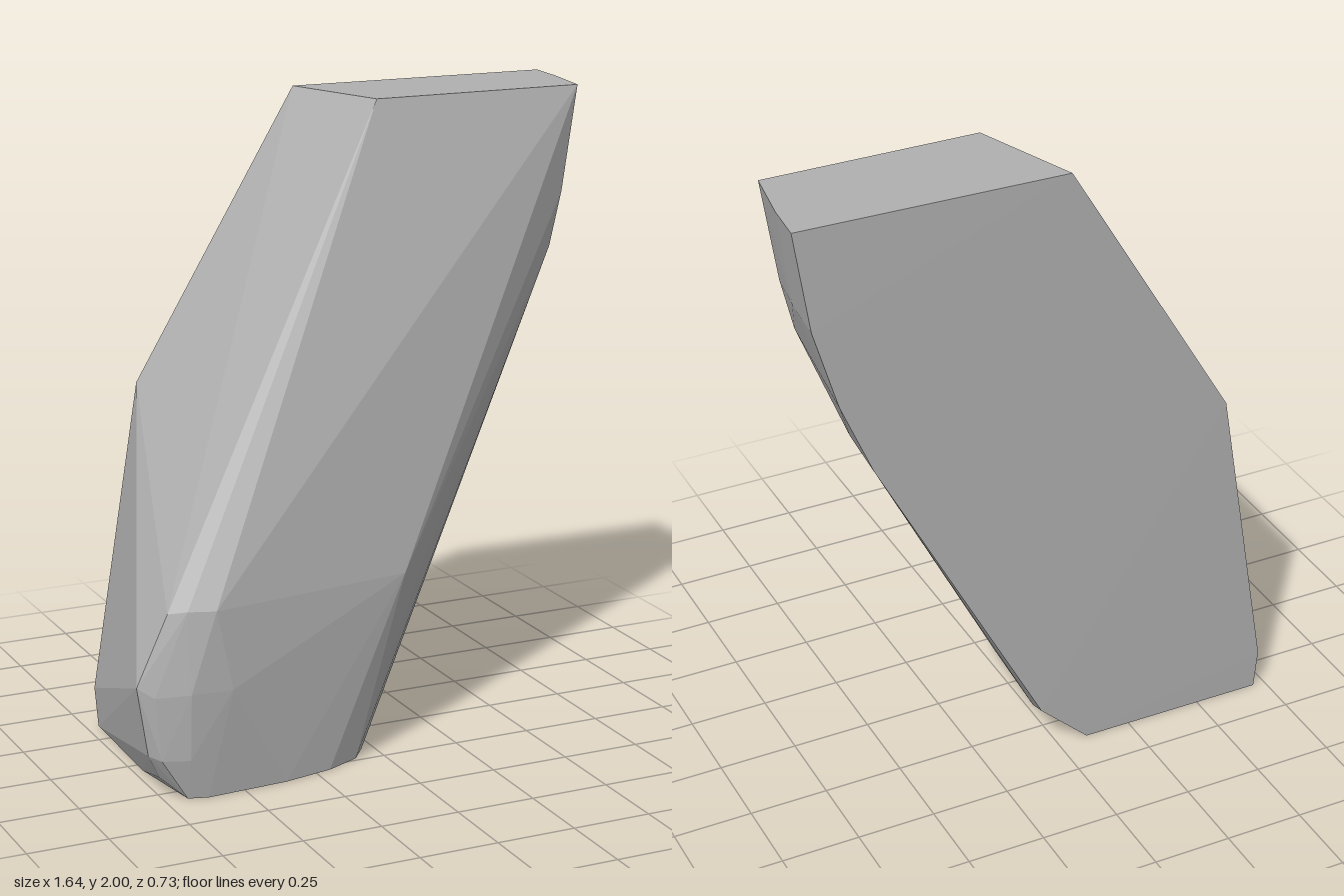
import * as THREE from 'three';
import { ConvexGeometry } from 'three/addons/geometries/ConvexGeometry.js';

// Corners of the leaning faceted block, [x, y, z], grouped by level
const flatTop = [
  [-0.03, 2, -0.35], [0.09, 2, 0], [0.78, 2, 0], [0.81, 2, -0.2], [0.82, 2, -0.335],
];
const upperCurve = [
  [0.775, 1.68, -0.342], [0.765, 1.69, -0.18], [0.73, 1.67, 0], [0.7, 1.42, -0.344],
  [0.69, 1.5, 0], [0.6, 1.18, -0.346], [0.59, 1.19, -0.15], [-0.56, 1.11, -0.362],
];
const frontBulge = [
  [-0.73, 0.58, 0.3], [-0.68, 0.59, 0.335], [-0.6, 0.59, 0.364], [0.06, 0.59, 0.27],
  [0.15, 0.59, 0.2], [0.06, 0.5, 0.25], [-0.68, 0.34, 0.358], [-0.55, 0.34, 0.365],
  [-0.825, 0.36, 0.285], [-0.78, 0.33, 0.315], [-0.06, 0.25, 0.26],
];
const lowerBevel = [
  [-0.79, 0.14, 0.28], [-0.76, 0.13, 0.315], [-0.68, 0.13, 0.345],
  [-0.75, 0.06, 0.26], [-0.72, 0.13, -0.365], [0.06, 0.15, -0.358],
];
const flatBase = [
  [-0.71, 0, -0.362], [-0.1, 0, -0.36], [-0.02, 0, -0.14], [-0.04, 0, 0.17],
  [-0.09, 0, 0.235], [-0.2, 0, 0.285], [-0.36, 0, 0.318], [-0.62, 0, 0.333],
  [-0.68, 0, 0.315], [-0.72, 0, 0.05],
];

export function createModel() {
  const stone = new THREE.MeshStandardMaterial({ color: 0xb0b0b0 });
  stone.name = 'grey stone';

  const corners = [flatTop, upperCurve, frontBulge, lowerBevel, flatBase]
    .flat()
    .map((p) => new THREE.Vector3(...p));
  const block = new THREE.Mesh(new ConvexGeometry(corners), stone);
  block.name = 'leaningBlock';

  const group = new THREE.Group();
  group.name = 'leaningStone';
  group.add(block);
  return group;
}
